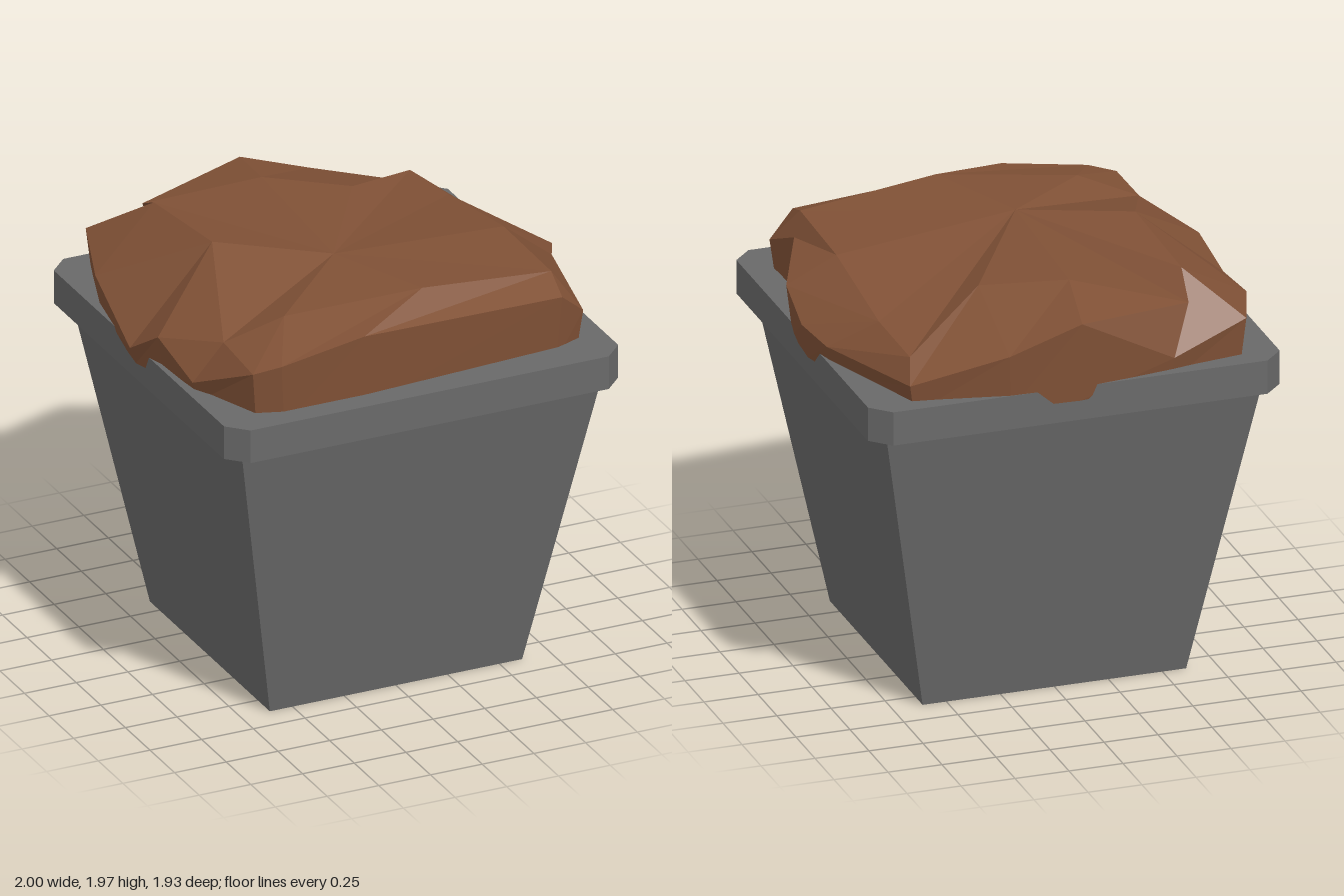
import * as THREE from 'three';

const potGrey = new THREE.MeshStandardMaterial({ color: 0x696969, flatShading: true });
potGrey.name = 'potGrey';
const soilBrown = new THREE.MeshStandardMaterial({ color: 0x805136, flatShading: true });
soilBrown.name = 'soilBrown';

const POT_Z = 0.013;
const RIM_BOTTOM = 1.407, RIM_TOP = 1.565;

function addMesh(group, name, geometry, material) {
  const mesh = new THREE.Mesh(geometry, material);
  mesh.name = name;
  group.add(mesh);
  return mesh;
}

// Four-sided tapering body
function potBody() {
  const g = new THREE.CylinderGeometry(0.868 * Math.SQRT2, 0.61 * Math.SQRT2, RIM_BOTTOM, 4);
  return g.rotateY(Math.PI / 4).translate(0, RIM_BOTTOM / 2, POT_Z);
}

// Square slab with clipped corners
function potRim() {
  const a = 0.953, b = 0.866;
  const shape = new THREE.Shape(
    [[a, -b], [a, b], [b, a], [-b, a], [-a, b], [-a, -b], [-b, -a], [b, -a]]
      .map(([x, y]) => new THREE.Vector2(x, y)));
  const g = new THREE.ExtrudeGeometry(shape, { depth: RIM_TOP - RIM_BOTTOM, bevelEnabled: false });
  return g.rotateX(-Math.PI / 2).translate(0, RIM_BOTTOM, POT_Z);
}

// Faceted soil mound: loops run front, +x side, back, -x side
function soilMound() {
  const edge = [
    [-0.79, 1.76, 0.83], [-0.67, 1.79, 0.87], [-0.27, 1.855, 0.87], [0.72, 1.81, 0.8],
    [0.845, 1.7, 0.75], [0.84, 1.835, 0.44], [0.975, 1.74, 0.16], [0.995, 1.66, -0.1],
    [0.95, 1.63, -0.3], [0.76, 1.64, -0.86], [0.33, 1.755, -0.95], [0, 1.87, -0.965],
    [-0.45, 1.62, -0.9], [-0.8, 1.74, -0.85], [-0.93, 1.7, -0.48], [-1, 1.58, 0.02],
    [-0.95, 1.7, 0.2], [-0.92, 1.6, 0.49],
  ];
  const shoulder = [
    [-0.78, 1.775, 0.51], [-0.52, 1.88, 0.58], [0.1, 1.932, 0.68], [0.74, 1.865, 0.645],
    [0.74, 1.865, 0.645], [0.75, 1.86, 0.14], [0.75, 1.86, 0.14], [0.75, 1.77, -0.42],
    [0.75, 1.77, -0.42], [0.73, 1.74, -0.77], [0.3, 1.89, -0.45], [-0.06, 1.935, -0.62],
    [-0.55, 1.83, -0.8], [-0.58, 1.92, -0.62], [-0.58, 1.92, -0.62], [-0.56, 1.965, -0.07],
    [-0.56, 1.965, -0.07], [-0.78, 1.775, 0.51],
  ];
  const crown = [-0.1, 1.93, 0.2];
  const base = edge.map(([x, , z]) => [x * 0.97, 1.5, z * 0.98]);

  const points = [];
  const same = (p, q) => p.every((v, i) => v === q[i]);
  const tri = (a, b, c) => {
    if (!same(a, b) && !same(b, c) && !same(a, c)) points.push(...a, ...b, ...c);
  };
  const n = edge.length;
  for (let i = 0; i < n; i++) {
    const j = (i + 1) % n;
    for (const [low, high] of [[base, edge], [edge, shoulder]]) {
      tri(low[i], low[j], high[j]);
      tri(low[i], high[j], high[i]);
    }
    tri(shoulder[i], shoulder[j], crown);
  }
  const g = new THREE.BufferGeometry();
  g.setAttribute('position', new THREE.Float32BufferAttribute(points, 3));
  g.computeVertexNormals();
  return g;
}

export function createModel() {
  const model = new THREE.Group();
  model.name = 'planter';
  addMesh(model, 'potBody', potBody(), potGrey);
  addMesh(model, 'potRim', potRim(), potGrey);
  addMesh(model, 'soilMound', soilMound(), soilBrown);
  return model;
}
